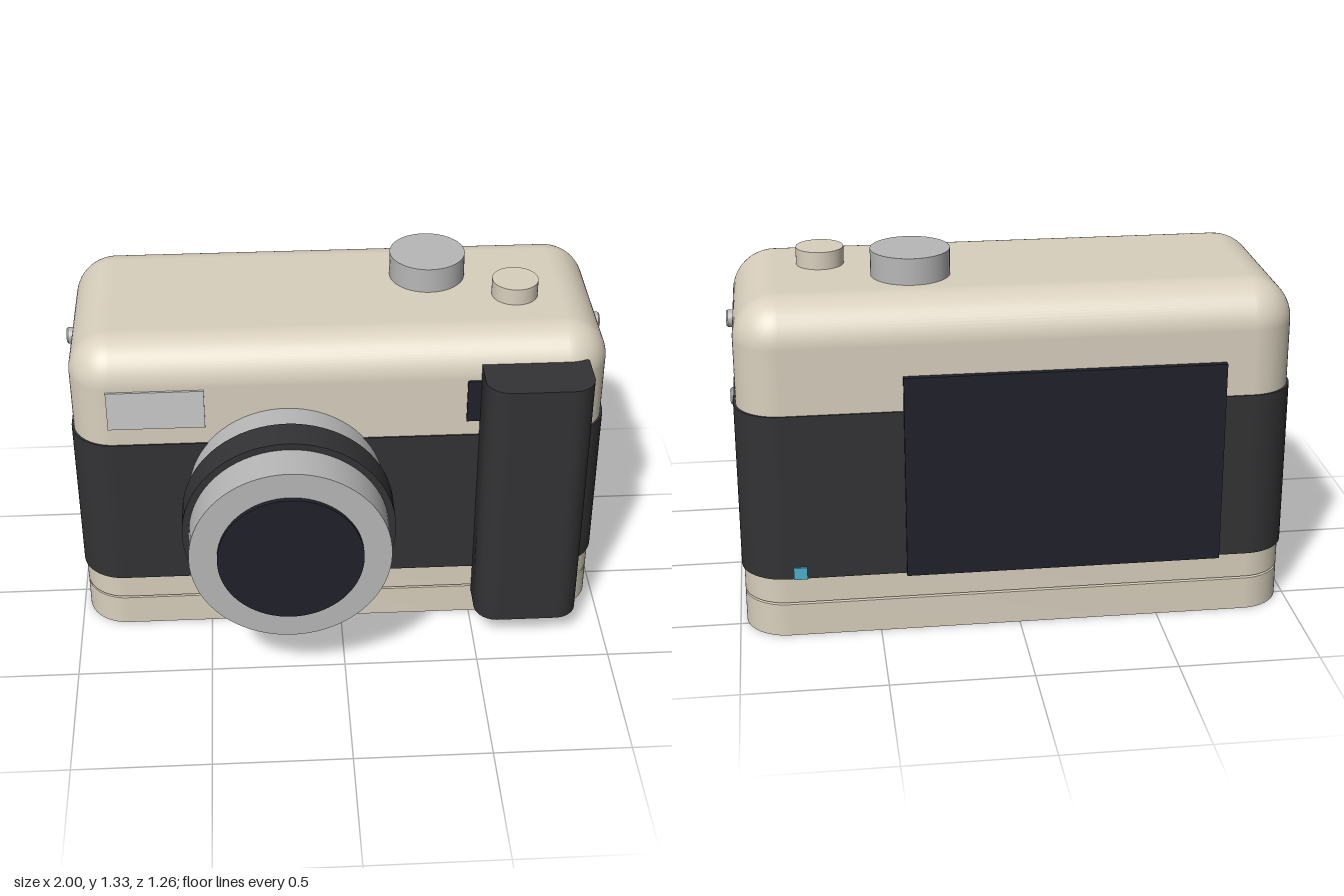
import * as THREE from 'three';
import { toCreasedNormals } from 'three/addons/utils/BufferGeometryUtils.js';
import { RoundedBoxGeometry } from 'three/addons/geometries/RoundedBoxGeometry.js';

const paint = (color) => new THREE.MeshStandardMaterial({ color });

// Rectangle outline with separate radii for its back (+y) and front (-y) corners
function roundedRect(hw, hd, back, front) {
  const s = new THREE.Shape();
  const q = Math.PI / 2;
  s.absarc(hw - back, hd - back, back, 0, q);
  s.absarc(-hw + back, hd - back, back, q, 2 * q);
  s.absarc(-hw + front, -hd + front, front, 2 * q, 3 * q);
  s.absarc(hw - front, -hd + front, front, 3 * q, 4 * q);
  s.closePath();
  return s;
}

export function createModel() {
  const camera = new THREE.Group();
  camera.name = 'camera';
  const beige = paint(0xd9d0be), dark = paint(0x333335), glass = paint(0x20222a);
  const metal = paint(0xb8b8b8), pale = paint(0xd6d6d6), cyan = paint(0x4fb3cc);
  const midZ = -0.2;

  function add(name, geometry, material, x = 0, y = 0, z = 0) {
    const mesh = new THREE.Mesh(geometry, material);
    mesh.name = name;
    mesh.position.set(x, y, z);
    camera.add(mesh);
    return mesh;
  }
  // Upright slab from y0 to y1 with a rounded plan
  function slab(name, material, [hw, hd, back, front], y0, y1, x, z) {
    const g = new THREE.ExtrudeGeometry(roundedRect(hw, hd, back, front),
      { depth: y1 - y0, bevelEnabled: false, curveSegments: 12 });
    g.rotateX(-Math.PI / 2);
    return add(name, toCreasedNormals(g, 0.6), material, x, y0, z);
  }
  // Box given by its limits
  function box(name, material, x0, x1, y0, y1, z0, z1) {
    return add(name, new THREE.BoxGeometry(x1 - x0, y1 - y0, z1 - z0), material,
      (x0 + x1) / 2, (y0 + y1) / 2, (z0 + z1) / 2);
  }
  // Cylinder standing on y0
  const knob = (name, material, r, y0, y1, x, z) =>
    add(name, new THREE.CylinderGeometry(r, r, y1 - y0, 48), material, x, (y0 + y1) / 2, z);

  // Body: base plate, lower shell, leather band, rounded top shell
  const plan = [0.977, 0.41, 0.155, 0.155];
  slab('basePlate', beige, plan, 0, 0.122, 0, midZ);
  slab('lowerShell', beige, plan, 0.13, 0.24, 0, midZ);
  slab('gripBand', dark, [0.985, 0.416, 0.16, 0.16], 0.225, 0.838, 0, midZ);
  add('topShell', new RoundedBoxGeometry(1.954, 0.73, 0.82, 10, 0.155), beige, 0, 0.865, midZ);

  // Small spacers in the seam above the base plate
  for (const x of [-0.74, 0.74]) for (const z of [0, -0.4])
    knob('seamSpacer', dark, 0.027, 0.121, 0.131, x, z);

  // Hand grip and the dark window beside it
  slab('handGrip', dark, [0.194, 0.105, 0.015, 0.085], 0.1, 1.13, 0.7, 0.288);
  box('sensorWindow', glass, 0.457, 0.56, 0.9, 1.07, 0.18, 0.218);

  // Flash window, rear screen and indicator light
  box('flashWindow', pale, -0.84, -0.49, 0.91, 1.065, 0.18, 0.218);
  box('rearScreen', glass, -0.72, 0.405, 0.22, 0.965, -0.632, -0.6);
  box('indicatorLight', cyan, 0.755, 0.803, 0.225, 0.27, -0.624, -0.6);

  // Lens
  const lens = (name, material, r, z0, z1) => {
    const g = new THREE.CylinderGeometry(r, r, z1 - z0, 72).rotateX(Math.PI / 2);
    return add(name, g, material, -0.2, 0.616, (z0 + z1) / 2);
  };
  lens('lensBarrel', metal, 0.36, 0.15, 0.615);
  lens('focusRing', dark, 0.385, 0.345, 0.47);
  lens('lensGlass', glass, 0.26, 0.6, 0.632);

  // Top controls
  knob('dial', metal, 0.14, 1.2, 1.325, 0.35, -0.29);
  knob('shutterButton', beige, 0.085, 1.2, 1.293, 0.66, -0.125);

  // Side screws with a recessed socket
  const profile = [[0, 0.032], [0.014, 0.032], [0.014, 0.05], [0.026, 0.05], [0.031, 0.044], [0.031, 0]]
    .map(([r, h]) => new THREE.Vector2(r, h)).reverse();
  const screw = toCreasedNormals(new THREE.LatheGeometry(profile, 24), 0.5);
  for (const side of [-1, 1]) for (const y of [1.06, 0.765])
    add('sideScrew', screw, metal, side * 0.95, y, midZ).rotation.z = -side * Math.PI / 2;

  return camera;
}
